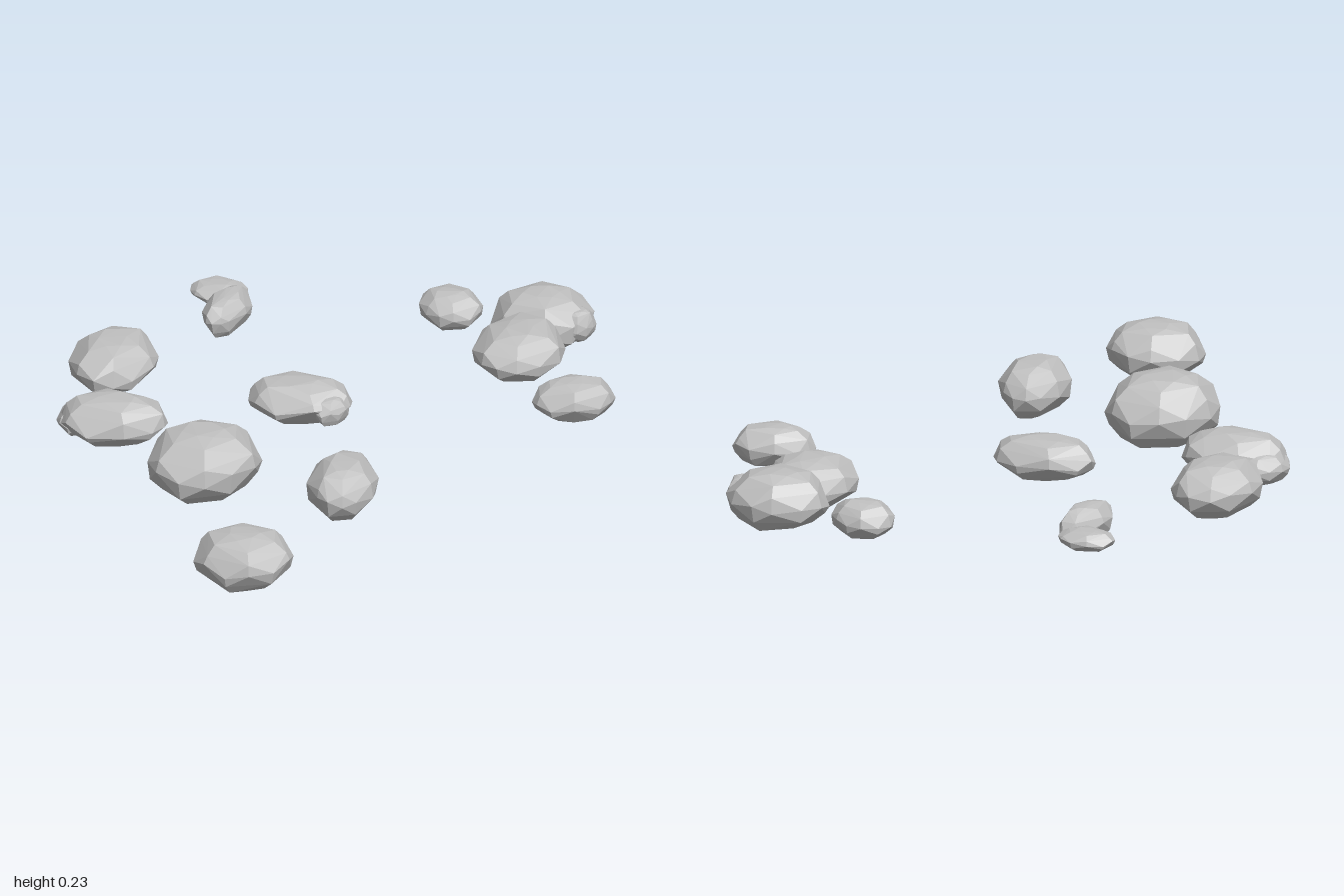
import * as THREE from 'three';
import { ConvexGeometry } from 'three/addons/geometries/ConvexGeometry.js';

// Each rock: name, centre x, centre z, half width, half depth, bottom, top,
// lean of its outline (positive runs from -x-z to +x+z)
const ROCKS = [
  ['backLargeRock', -0.03, -0.845, 0.14, 0.155, 0.01, 0.20, -0.12],
  ['backLargeKnob', 0.075, -0.91, 0.045, 0.06, 0.05, 0.16, 0],
  ['backMiddleRock', 0.09, -0.67, 0.14, 0.16, 0.02, 0.18, 0.12],
  ['backRightSmallRock', -0.275, -0.66, 0.1, 0.093, 0.03, 0.15, -0.05],
  ['backLeftSmallRock', 0.45, -0.625, 0.095, 0.123, 0.03, 0.16, -0.3],
  ['sidePebble', -0.78, -0.115, 0.078, 0.082, 0.065, 0.13, -0.25],
  ['sideSmallRock', -0.65, -0.055, 0.08, 0.11, 0.04, 0.165, 0.45],
  ['centreRock', -0.04, 0.09, 0.137, 0.143, 0.035, 0.17, -0.38],
  ['centreKnob', 0.07, 0.05, 0.042, 0.06, 0.05, 0.14, 0],
  ['frontFarRightRock', -0.565, 0.45, 0.14, 0.156, 0.03, 0.205, 0.15],
  ['frontRightRock', -0.28, 0.65, 0.138, 0.153, 0.02, 0.18, -0.35],
  ['frontRightKnob', -0.38, 0.7, 0.068, 0.095, 0.03, 0.13, 0.1],
  ['frontLargeRock', 0.15, 0.605, 0.16, 0.185, 0.005, 0.24, 0],
  ['frontLeftRock', 0.53, 0.33, 0.133, 0.13, 0.03, 0.205, 0.32],
  ['frontFarLeftRock', 0.715, 0.845, 0.142, 0.148, 0.01, 0.19, -0.1],
];

// Small seeded generator for uneven facets
function seeded(seed) {
  return () => (seed = (seed * 16807) % 2147483647) / 2147483647;
}

// Widest outline: a leaning oval with a corner at each extreme and two bulging corners between
function rockOutline(halfW, halfD, lean, rand) {
  const phase = Math.asin(lean);
  const quarter = Math.PI / 2;
  const extremes = [0, quarter - phase, Math.PI, Math.PI + quarter - phase, Math.PI * 2];
  const outline = [];
  const corner = (t, bulge) => outline.push([
    halfW * Math.cos(t) * bulge, halfD * Math.sin(t + phase) * bulge]);
  for (let i = 0; i < 4; i++) {
    corner(extremes[i], 1);
    for (const f of [0.3, 0.62]) {
      corner(THREE.MathUtils.lerp(extremes[i], extremes[i + 1], f + rand() * 0.08), 1 + rand() * 0.07);
    }
  }
  return outline;
}

// Faceted hull: the outline swings up and down, with shoulders and smaller caps above and below
function rockGeometry(outline, bottom, top, rand) {
  const points = [];
  const add = ([x, z], scale, t) => points.push(new THREE.Vector3(
    x * scale, THREE.MathUtils.lerp(bottom, top, t), z * scale));
  outline.forEach((p, i) => {
    const odd = i % 2 === 1;
    add(p, 1, 0.38 + rand() * 0.24);
    add(p, 0.9 + rand() * 0.06, odd ? 0.73 : 0.27);
    if (odd) {
      add(p, 0.62 + rand() * 0.14, 0.88 + rand() * 0.06);
      add(p, 0.3 + rand() * 0.2, rand() * 0.03);
    } else {
      add(p, 0.25 + rand() * 0.2, 0.97 + rand() * 0.03);
      add(p, 0.62 + rand() * 0.14, 0.06 + rand() * 0.06);
    }
  });
  return new ConvexGeometry(points);
}

export function createModel() {
  const stone = new THREE.MeshStandardMaterial({ color: 0xc0c0c0 });
  stone.name = 'greyStone';
  const group = new THREE.Group();
  group.name = 'scatteredRocks';
  ROCKS.forEach(([name, x, z, halfW, halfD, bottom, top, lean], i) => {
    const rand = seeded(1234567 + i * 7919);
    const outline = rockOutline(halfW, halfD, lean, rand);
    const rock = new THREE.Mesh(rockGeometry(outline, bottom, top, rand), stone);
    rock.name = name;
    rock.position.set(x, 0, z);
    group.add(rock);
  });
  return group;
}
